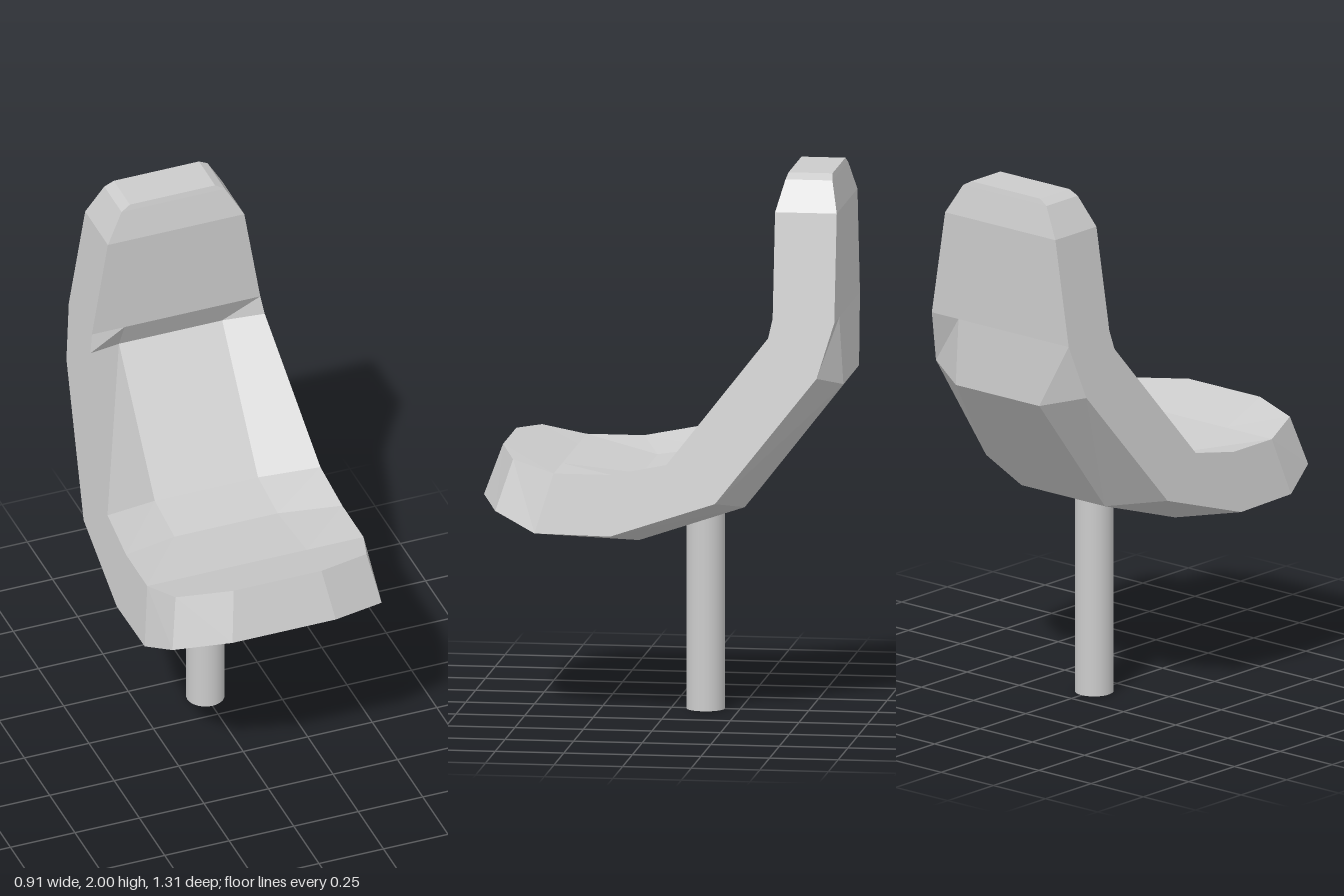
import * as THREE from 'three';

const material = new THREE.MeshStandardMaterial({ color: 0xcccccc, flatShading: true });
const smooth = new THREE.MeshStandardMaterial({ color: 0xcccccc });

// Half width of the shell, tapering with height
const width = (y) => 0.455 - 0.163 * (y - 0.7);

// Stations from the front lip to the top of the headrest.
// Each point is [z, y, optional half width]; the middle strip is dished.
const stations = [
  { edge: [0.525, 0.96, 0.37], mid: [0.59, 0.98, 0.17], backEdge: [0.585, 0.775, 0.405], backMid: [0.655, 0.8] },
  { edge: [0.37, 0.92], mid: [0.37, 0.92], backEdge: [0.435, 0.705], backMid: [0.435, 0.705] },
  { edge: [0.16, 0.92], mid: [0.08, 0.89], backEdge: [0.16, 0.7], backMid: [0.09, 0.645] },
  { edge: [-0.04, 0.96], mid: [-0.115, 0.92], backEdge: [-0.22, 0.825], backMid: [-0.295, 0.775] },
  { edge: [-0.4, 1.42], mid: [-0.47, 1.38], backEdge: [-0.58, 1.28], backMid: [-0.655, 1.235] },
  { edge: [-0.415, 1.49], mid: [-0.415, 1.49], backEdge: [-0.64, 1.48], backMid: [-0.64, 1.48] },
  { edge: [-0.415, 1.87], mid: [-0.415, 1.87], backEdge: [-0.64, 1.87], backMid: [-0.64, 1.87] },
  { edge: [-0.444, 1.98, 0.2], mid: [-0.444, 1.98, 0.17], backEdge: [-0.615, 1.98, 0.2], backMid: [-0.615, 1.98, 0.17] },
  { edge: [-0.45, 2, 0.165], mid: [-0.45, 2, 0.13], backEdge: [-0.61, 2, 0.165], backMid: [-0.61, 2, 0.13] },
];

// Eight-point ring: sitting side left to right, then back side right to left
function makeRing({ edge, mid, backEdge, backMid }) {
  const point = (p, side, x) => new THREE.Vector3(side * (p[2] ?? x), p[1], p[0]);
  const e = (p, side) => point(p, side, width(p[1]));
  const m = (p, side) => point(p, side, 0.2);
  return [
    e(edge, -1), m(mid, -1), m(mid, 1), e(edge, 1),
    e(backEdge, 1), m(backMid, 1), m(backMid, -1), e(backEdge, -1),
  ];
}

function createShell() {
  const positions = [];
  const quad = (a, b, c, d) => {
    for (const p of [a, b, c, a, c, d]) positions.push(p.x, p.y, p.z);
  };

  // Panel sunk inwards with sloping walls
  const recess = (corners, scale, depth) => {
    const [a, b, c, d] = corners;
    const centre = a.clone().add(b).add(c).add(d).multiplyScalar(0.25);
    const normal = b.clone().sub(a).cross(d.clone().sub(a)).normalize();
    const inner = corners.map((p) =>
      p.clone().lerp(centre, 1 - scale).addScaledVector(normal, -depth));
    for (let i = 0; i < 4; i++) {
      const j = (i + 1) % 4;
      quad(corners[i], corners[j], inner[j], inner[i]);
    }
    quad(...inner);
  };

  const rings = stations.map(makeRing);
  for (let r = 0; r < rings.length - 1; r++) {
    for (let i = 0; i < 8; i++) {
      const j = (i + 1) % 8;
      const corners = [rings[r][i], rings[r][j], rings[r + 1][j], rings[r + 1][i]];
      if (r === 2 && i === 5) recess(corners, 0.68, 0.06);
      else quad(...corners);
    }
  }

  // Front lip and headrest top
  const first = rings[0];
  const last = rings[rings.length - 1];
  for (let i = 0; i < 3; i++) {
    quad(first[i], first[7 - i], first[6 - i], first[i + 1]);
    quad(last[i], last[i + 1], last[6 - i], last[7 - i]);
  }

  const geometry = new THREE.BufferGeometry();
  geometry.setAttribute('position', new THREE.Float32BufferAttribute(positions, 3));
  geometry.computeVertexNormals();
  const mesh = new THREE.Mesh(geometry, material);
  mesh.name = 'seatShell';
  return mesh;
}

export function createModel() {
  const group = new THREE.Group();
  group.name = 'pedestalSeat';
  group.add(createShell());

  // Round post rising into the recess under the seat
  const post = new THREE.Mesh(new THREE.CylinderGeometry(0.07, 0.07, 0.82, 24), smooth);
  post.name = 'supportPost';
  post.position.set(0, 0.41, -0.125);
  group.add(post);
  return group;
}
